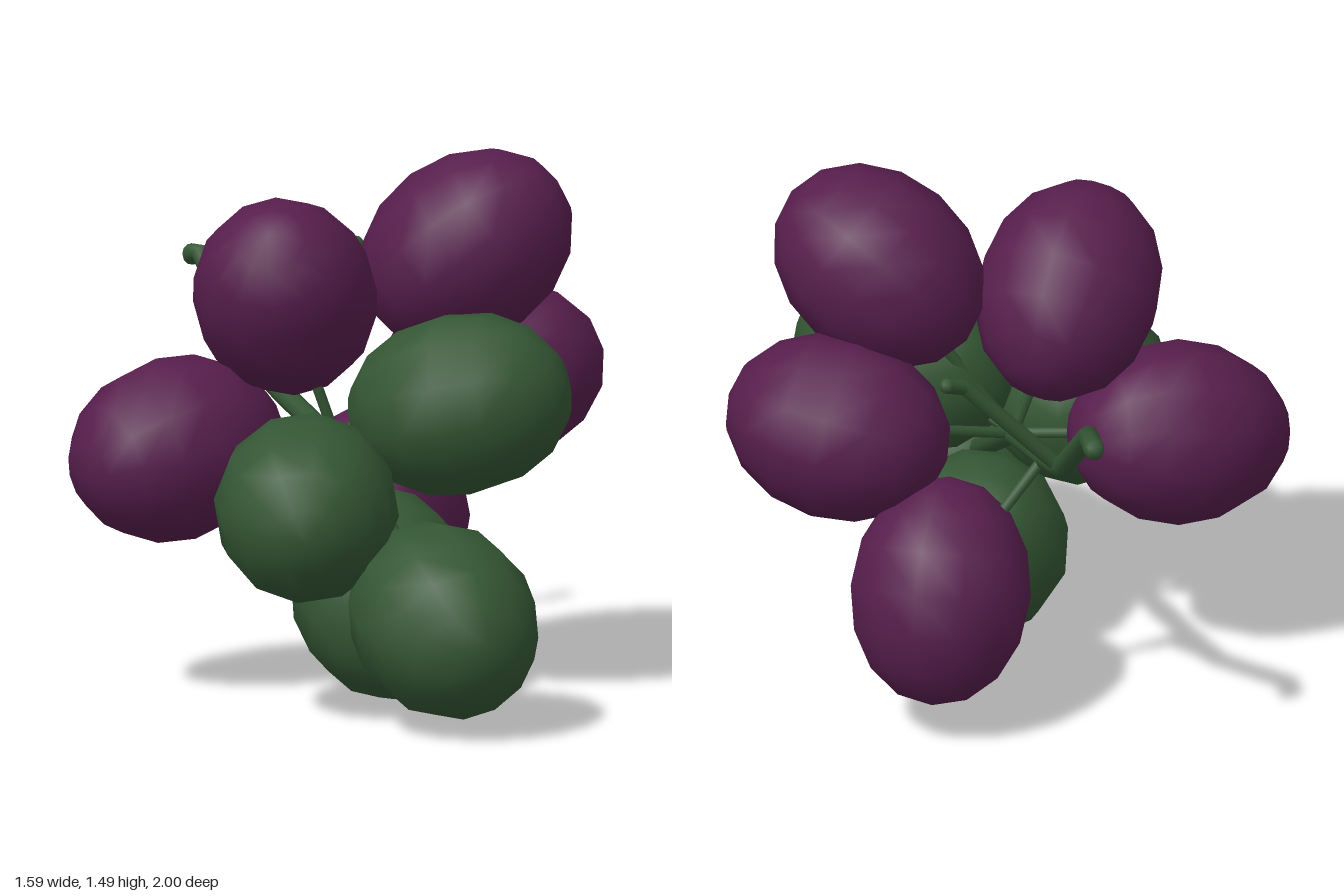
import * as THREE from 'three';

const V = (p) => new THREE.Vector3(...p);

export function createModel() {
  const group = new THREE.Group();
  const purple = new THREE.MeshStandardMaterial({ color: 0x571e4d });
  const green = new THREE.MeshStandardMaterial({ color: 0x345634 });

  const add = (name, geometry, material) => {
    const mesh = new THREE.Mesh(geometry, material);
    mesh.name = name;
    group.add(mesh);
    return mesh;
  };

  // Grapes: centre, direction of the long axis, ripeness
  const grapes = [
    ['topLeftGrape', [-0.2, 1.11, -0.03], [-0.43, 0.67, 0.6], purple],
    ['topRightGrape', [0.325, 1.215, 0.025], [0.68, 0.6, 0.4], purple],
    ['rightGrape', [0.485, 0.825, -0.16], [0.85, 0.2, 0.45], purple],
    ['backGrape', [0.25, 0.41, -0.4], [-0.15, 0.93, 0.3], purple],
    ['leftGrape', [-0.49, 0.69, -0.12], [0.95, 0.15, -0.15], purple],
    ['frontRightGrape', [0.2, 0.825, 0.255], [0.7, 0.2, 0.6], green],
    ['frontLeftGrape', [-0.335, 0.6, 0.405], [-0.4, -0.15, 0.88], green],
    ['tipGrape', [-0.05, 0.31, 0.69], [0, -0.4, 0.92], green],
    ['bottomGrape', [0.02, 0.29, 0.14], [0.1, 0.68, -0.72], green],
  ];
  const berry = new THREE.SphereGeometry(1, 12, 8);
  const up = new THREE.Vector3(0, 1, 0);
  for (const [name, centre, axis, material] of grapes) {
    const grape = add(name, berry, material);
    grape.position.set(...centre);
    grape.scale.set(0.257, 0.318, 0.257);
    grape.quaternion.setFromUnitVectors(up, V(axis).normalize());
  }

  // Stalks: tubes along polylines, with closed ends
  const stalk = (name, points, radius) => {
    const path = new THREE.CurvePath();
    const pts = points.map(V);
    for (let i = 1; i < pts.length; i++) path.add(new THREE.LineCurve3(pts[i - 1], pts[i]));
    add(name, new THREE.TubeGeometry(path, 24, radius, 8), green);
    for (const end of [pts[0], pts[pts.length - 1]]) {
      add(name + 'End', new THREE.SphereGeometry(radius, 8, 6), green).position.copy(end);
    }
  };
  const stem = [
    [-0.05, 1.06, -0.97], [-0.05, 1.075, -0.91], [-0.05, 0.83, -0.58],
    [-0.05, 0.77, -0.37], [-0.05, 0.68, 0], [-0.05, 0.46, 0.4],
  ];
  stalk('mainStem', stem, 0.03);
  stalk('sideTendril', [[-0.05, 0.83, -0.57], [0.22, 1.1, -0.575], [0.28, 1.125, -0.605]], 0.022);

  // Thin twigs from the stem into the grapes
  const joints = [3, 4, 5].map((i) => V(stem[i]));
  for (const [name, centre] of grapes) {
    const c = V(centre);
    const joint = joints.reduce((a, b) => (a.distanceTo(c) < b.distanceTo(c) ? a : b));
    stalk(name + 'Twig', [joint.toArray(), c.lerp(joint, 0.3).toArray()], 0.016);
  }
  return group;
}
